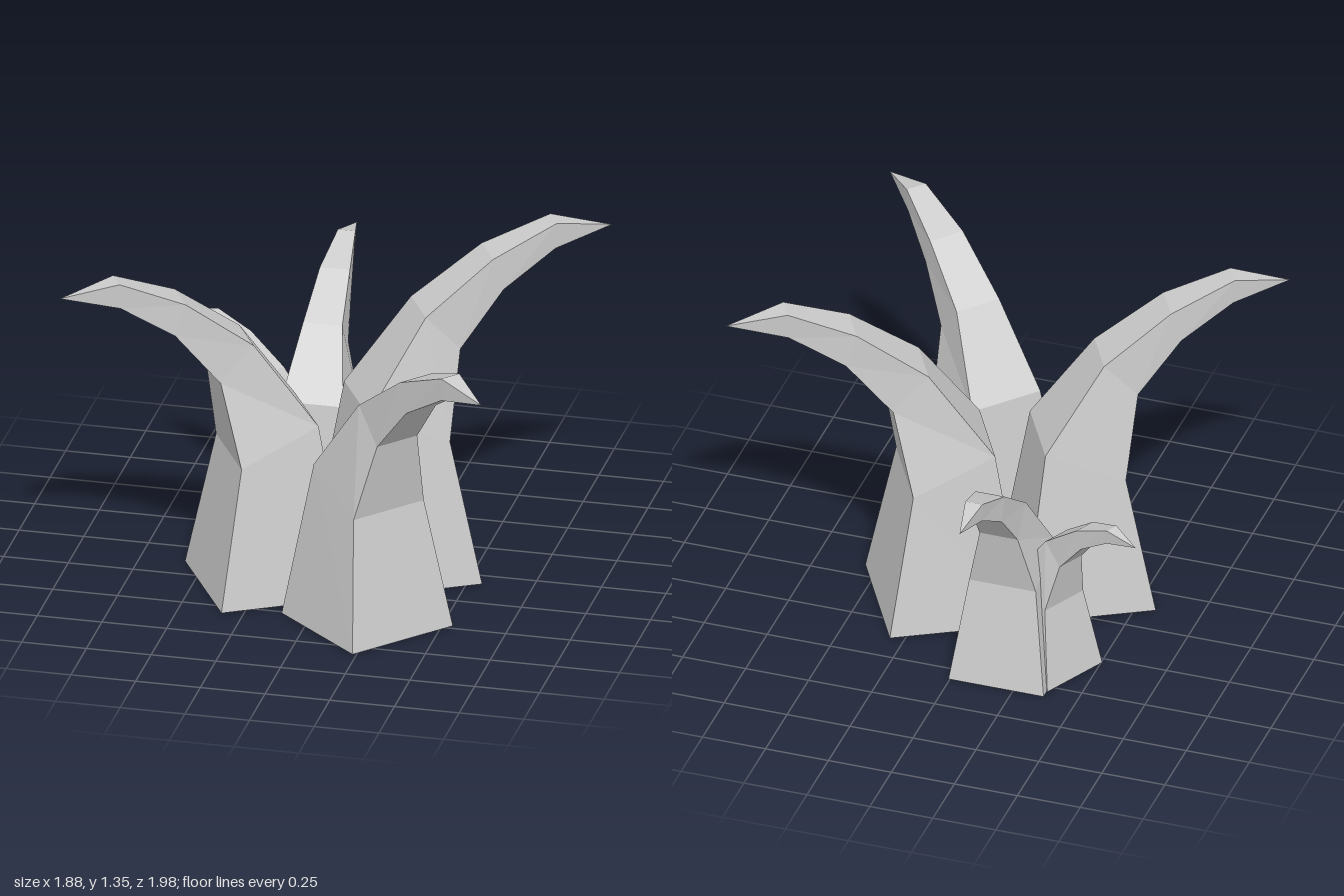
import * as THREE from 'three';

// Cross-sections of one claw, base to tip, bending towards +z:
// [inner z, inner y, inner half width, outer z, outer y, outer half width]
const RINGS = [
  [0, 0, 0.25, 0.505, 0, 0.25],
  [0.1, 0.68, 0.16, 0.405, 0.545, 0.175],
  [0.335, 1.015, 0.1, 0.465, 0.875, 0.1],
  [0.595, 1.205, 0.077, 0.635, 1.08, 0.075],
  [0.845, 1.305, 0.045, 0.84, 1.205, 0.042],
];
const TIP = [0, 1.255, 1.065];

function clawGeometry() {
  const positions = [];
  const index = [];
  for (const [zi, yi, wi, zo, yo, wo] of RINGS) {
    positions.push(-wi, yi, zi, wi, yi, zi, wo, yo, zo, -wo, yo, zo);
  }
  positions.push(...TIP);
  const last = RINGS.length - 1;
  const tip = RINGS.length * 4;
  index.push(0, 1, 2, 0, 2, 3); // underside
  for (let i = 0; i <= last; i++) {
    for (let j = 0; j < 4; j++) {
      const a = i * 4 + j;
      const b = i * 4 + ((j + 1) % 4);
      if (i === last) index.push(a, tip, b);
      else index.push(a, a + 4, b + 4, a, b + 4, b);
    }
  }
  const indexed = new THREE.BufferGeometry();
  indexed.setAttribute('position', new THREE.Float32BufferAttribute(positions, 3));
  indexed.setIndex(index);
  const geometry = indexed.toNonIndexed();
  geometry.computeVertexNormals();
  return geometry;
}

// Each claw: middle of its inner base edge, leaning direction and size
const CLAWS = [
  { name: 'rightFrontClaw', x: -0.015, z: 0.1, dx: -0.87, dz: 0.49, size: 1 },
  { name: 'leftBackClaw', x: -0.025, z: 0.105, dx: 0.87, dz: -0.485, size: 1.035 },
  { name: 'leftFrontClaw', x: 0.04, z: 0.34, dx: 0.75, dz: 0.665, size: 0.92 },
  { name: 'backClaw', x: -0.183, z: -0.19, dx: 0, dz: -1, size: 0.755 },
  { name: 'smallRightBackClaw', x: -0.177, z: -0.275, dx: -0.895, dz: -0.445, size: 0.58 },
];

export function createModel() {
  const group = new THREE.Group();
  group.name = 'clawCluster';
  const geometry = clawGeometry();
  const material = new THREE.MeshStandardMaterial({ color: 0xcccccc, flatShading: true });
  for (const { name, x, z, dx, dz, size } of CLAWS) {
    const claw = new THREE.Mesh(geometry, material);
    claw.name = name;
    claw.position.set(x, 0, z);
    claw.rotation.y = Math.atan2(dx, dz);
    claw.scale.setScalar(size);
    group.add(claw);
  }
  return group;
}
